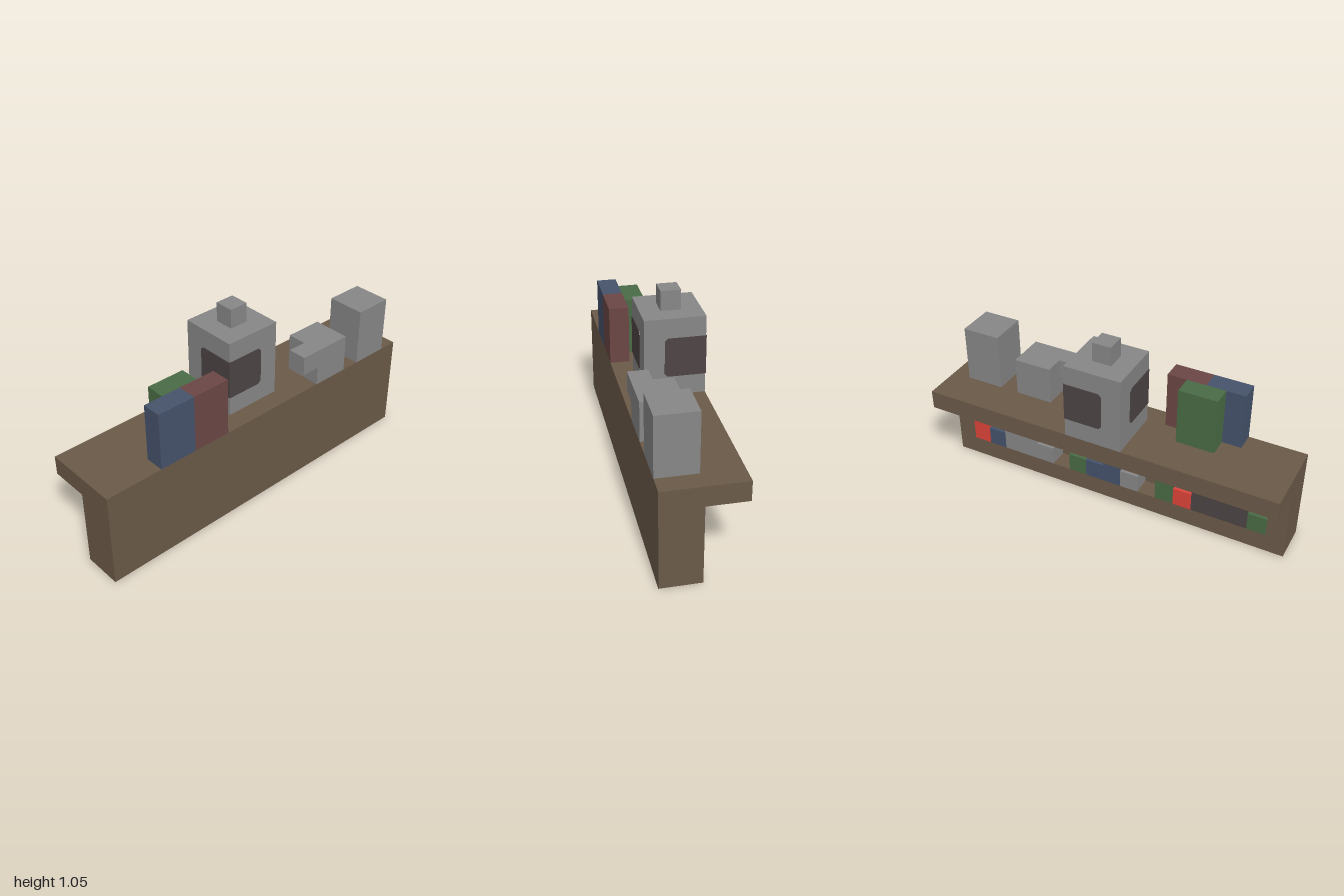
import * as THREE from 'three';

// All sizes are in blocks; the whole model is 19 blocks long.
const UNIT = 2 / 19;

const colour = (name, hex) => {
  const m = new THREE.MeshStandardMaterial({ color: hex });
  m.name = name;
  return m;
};

export function createModel() {
  const wood = colour('wood brown', 0x6b5a48);
  const grey = colour('stone grey', 0x878787);
  const green = colour('book green', 0x4a6b45);
  const blue = colour('book blue', 0x45536b);
  const red = colour('book dull red', 0x6b4645);
  const scarlet = colour('bright red', 0xdd4439);
  const dark = colour('label dark', 0x4d4445);

  const model = new THREE.Group();
  model.name = 'shelfCounter';

  const add = (parent, name, geometry, material) => {
    const mesh = new THREE.Mesh(geometry, material);
    mesh.name = name;
    parent.add(mesh);
    return mesh;
  };
  // Box given by its minimum and maximum corners
  const box = (name, material, [x0, y0, z0], [x1, y1, z1], parent = model) => {
    const g = new THREE.BoxGeometry(x1 - x0, y1 - y0, z1 - z0);
    g.translate((x0 + x1) / 2, (y0 + y1) / 2, (z0 + z1) / 2);
    return add(parent, name, g, material);
  };
  // Flat outline of [x, y] points
  const outline = (points, Type = THREE.Shape) =>
    new Type(points.map(([x, y]) => new THREE.Vector2(x, y)));

  // Counter: top slab, solid panel, and a frame with an open recess facing -x
  box('counterTop', wood, [-2, 4, -9.5], [2, 5, 9.5]);
  box('counterPanel', wood, [1, 0, -9.5], [2, 4, 9.5]);
  const frame = outline([[-9.5, 0], [9.5, 0], [9.5, 4], [8.5, 4], [8.5, 1], [-8.5, 1], [-8.5, 4], [-9.5, 4]]);
  const frameGeometry = new THREE.ExtrudeGeometry(frame, { depth: 1, bevelEnabled: false });
  frameGeometry.rotateY(Math.PI / 2);
  add(model, 'recessFrame', frameGeometry, wood);

  // Goods in the recess: name, material, z from, z to, top height
  const goods = [
    ['redBook', scarlet, -8.5, -7.5, 3],
    ['lowBlueBook', blue, -7.5, -6.5, 2],
    ['potBody', grey, -6.5, -4.5, 3],
    ['potSpout', grey, -4.5, -3.5, 2],
    ['lowGreenBook', green, -2.5, -1.5, 2],
    ['lowBlueBook', blue, -1.5, -0.5, 2],
    ['tallBlueBook', blue, -0.5, 0.5, 3],
    ['smallStone', grey, 0.5, 1.5, 2],
    ['tallGreenBook', green, 2.5, 3.5, 3],
    ['redBox', scarlet, 3.5, 4.5, 2],
    ['darkCrate', dark, 4.5, 7.5, 3],
    ['lowGreenBook', green, 7.5, 8.5, 2],
  ];
  for (const [name, material, z0, z1, top] of goods) box(name, material, [0, 1, z0], [1, top, z1]);

  // Books standing on the counter
  box('counterRedBook', red, [1, 5, 2.5], [2, 8, 4.5]);
  box('counterBlueBook', blue, [1, 5, 4.5], [2, 8, 6.5]);
  box('counterGreenBook', green, [0, 5, 3.5], [1, 8, 5.5]);

  // Canister and mug
  box('canister', grey, [0, 5, -8.5], [2, 8, -6.5]);
  box('mugBody', grey, [0, 5, -5.5], [2, 7, -3.5]);
  box('mugHandle', grey, [1, 6, -3.5], [2, 7, -2.5]);

  // Bottle with stopper
  const bottle = new THREE.Group();
  bottle.name = 'bottle';
  bottle.position.set(-0.5, 5, 0);
  model.add(bottle);
  box('bottleBody', grey, [-1.5, 0, -1.5], [1.5, 4, 1.5], bottle);
  box('bottleStopper', grey, [-0.5, 4, -0.5], [0.5, 5, 0.5], bottle);

  // Labels wrapped round two opposite corners, with clipped outer corners
  const c = 0.15;
  const labelPlate = (side) => new THREE.ExtrudeGeometry(
    outline([[1.5, 1], [1.5, 3], [-0.5 + c, 3], [-0.5, 3 - c], [-0.5, 1 + c], [-0.5 + c, 1]]
      .map(([x, y]) => [x * side, y])),
    { depth: 0.03, bevelEnabled: false });
  for (const turn of [0, Math.PI]) {
    const label = new THREE.Group();
    label.name = 'cornerLabel';
    label.rotation.y = turn;
    bottle.add(label);
    add(label, 'labelFront', labelPlate(1).translate(0, 0, 1.5), dark);
    add(label, 'labelSide', labelPlate(-1).translate(0, 0, 1.5).rotateY(Math.PI / 2), dark);
  }

  model.scale.setScalar(UNIT);
  const root = new THREE.Group();
  root.name = 'model';
  root.add(model);
  return root;
}
